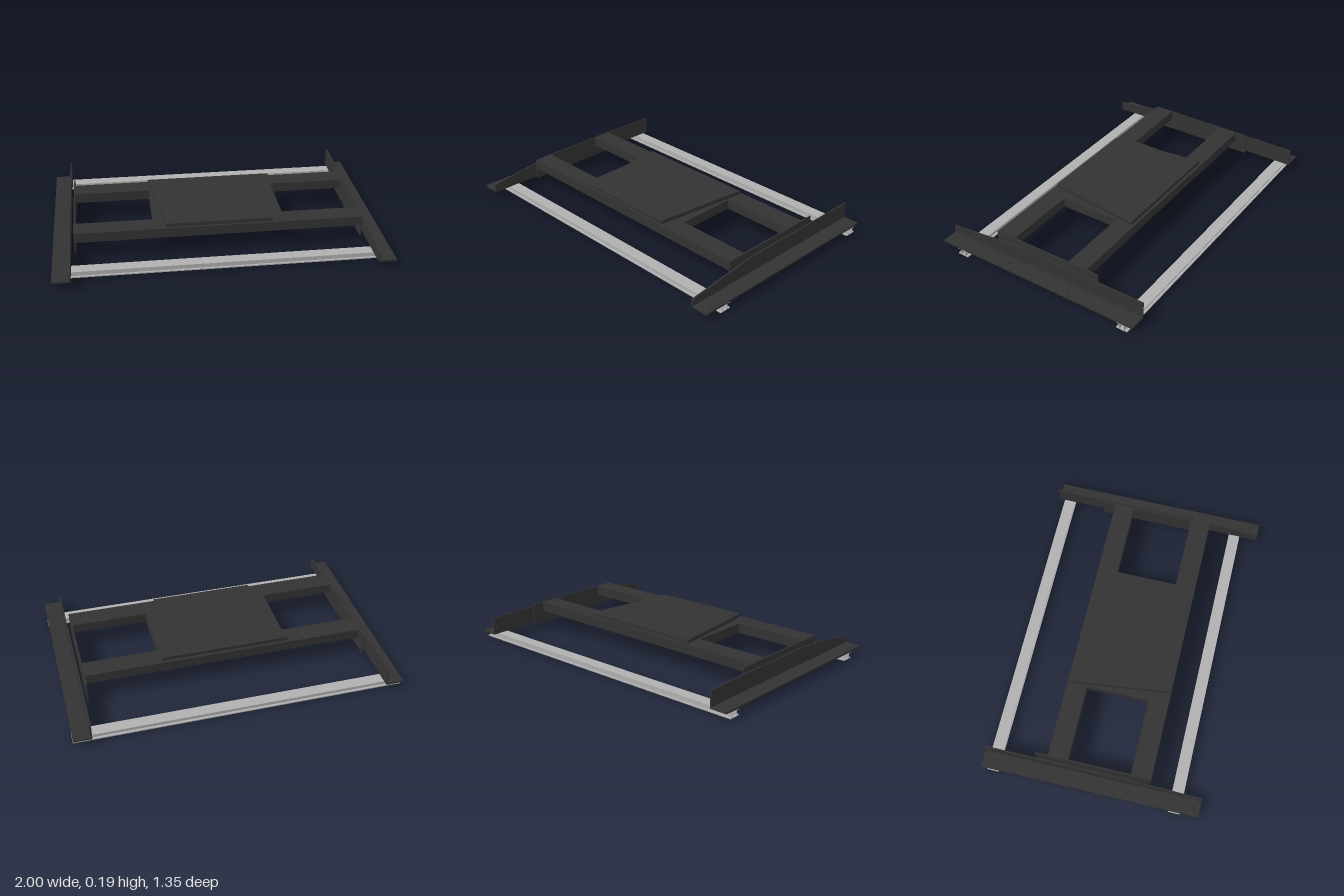
import * as THREE from 'three';

const dark = new THREE.MeshStandardMaterial({ color: 0x333333 });
const metal = new THREE.MeshStandardMaterial({ color: 0xb0b0b0 });

// Box given by its limits on each axis
function box(parent, name, mat, [x0, x1], [y0, y1], [z0, z1]) {
  const mesh = new THREE.Mesh(new THREE.BoxGeometry(x1 - x0, y1 - y0, z1 - z0), mat);
  mesh.position.set((x0 + x1) / 2, (y0 + y1) / 2, (z0 + z1) / 2);
  mesh.name = name;
  parent.add(mesh);
  return mesh;
}

function extrude(points, depth) {
  const shape = new THREE.Shape(points.map(([a, b]) => new THREE.Vector2(a, b)));
  return new THREE.ExtrudeGeometry(shape, { depth, bevelEnabled: false });
}

// Angle bracket along one side, with its bolts
function sideBracket(side) {
  const g = new THREE.Group();
  g.name = side > 0 ? 'leftBracket' : 'rightBracket';
  const span = (a, b) => (side > 0 ? [a, b] : [-b, -a]);
  box(g, 'bracketFlange', dark, span(0.893, 1), [0.04, 0.051], [-0.675, 0.675]);

  // upright with a sloping front end
  const geo = extrude([[-0.675, 0.04], [0.675, 0.04], [0.675, 0.095], [0.21, 0.15], [-0.675, 0.15]], 0.009);
  geo.rotateY(-Math.PI / 2);
  const web = new THREE.Mesh(geo, dark);
  web.name = 'bracketUpright';
  web.position.x = side > 0 ? 0.9 : -0.891;
  g.add(web);

  for (const z of [0.62, 0.22, -0.2, -0.6]) {
    const bolt = new THREE.Mesh(new THREE.CylinderGeometry(0.011, 0.016, 0.005, 16), dark);
    bolt.name = 'bolt';
    bolt.position.set(side * 0.952, 0.0535, z);
    g.add(bolt);
  }

  // plate that carries the ends of the cross beams
  box(g, 'endPlate', dark, span(0.862, 0.871), [0.04, 0.172], [-0.36, 0.355]);
  return g;
}

// Double-web rail with lipped flanges
function rail(name, z) {
  const g = new THREE.Group();
  g.name = name;
  const x = [-1, 1];
  for (const y of [0, 0.037]) {
    box(g, 'railFlange', metal, x, [y, y + 0.003], [z - 0.036, z + 0.036]);
    const lip = y === 0 ? [0.003, 0.007] : [0.033, 0.037];
    for (const s of [-1, 1]) box(g, 'railLip', metal, x, lip, [z + s * 0.0345 - 0.0015, z + s * 0.0345 + 0.0015]);
  }
  for (const s of [-1, 1]) {
    box(g, 'railWeb', metal, x, [0.003, 0.037], [z + s * 0.016 - 0.0015, z + s * 0.016 + 0.0015]);
  }
  return g;
}

export function createModel() {
  const model = new THREE.Group();
  model.name = 'mountingFrame';

  for (const side of [-1, 1]) model.add(sideBracket(side));
  model.add(rail('frontRail', 0.527), rail('rearRail', -0.605));

  // Cross beams and the short members joining them
  const beamY = [0.112, 0.172];
  box(model, 'frontBeam', dark, [-0.862, 0.862], beamY, [0.23, 0.355]);
  box(model, 'rearBeam', dark, [-0.862, 0.862], beamY, [-0.28, -0.155]);
  box(model, 'leftMember', dark, [0.27, 0.395], beamY, [-0.155, 0.23]);
  box(model, 'rightMember', dark, [-0.395, -0.27], beamY, [-0.155, 0.23]);

  // Top plate, narrower at the front
  const plateGeo = extrude([[-0.32, -0.34], [0.32, -0.34], [0.395, 0.262], [-0.395, 0.262]], 0.023);
  plateGeo.rotateX(-Math.PI / 2);
  const plate = new THREE.Mesh(plateGeo, dark);
  plate.name = 'topPlate';
  plate.position.y = 0.172;
  model.add(plate);

  return model;
}
